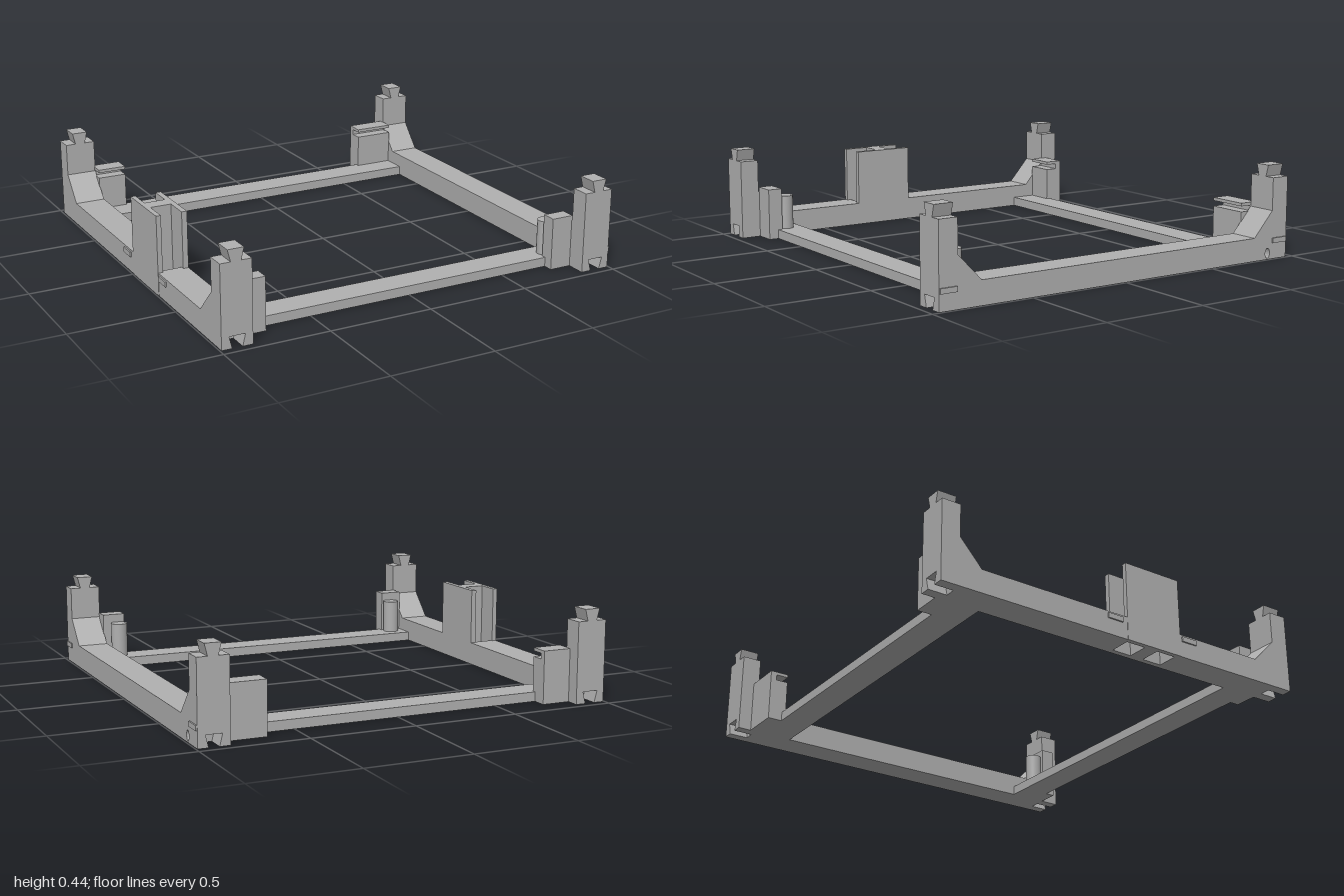
import * as THREE from 'three';

export function createModel() {
  const model = new THREE.Group();
  const grey = new THREE.MeshStandardMaterial({ color: 0xb0b0b0 });
  grey.name = 'grey';

  const RAIL_X = 0.92, HALF = 0.073, RAIL_H = 0.11, POST_Z = 0.872, END_Z = 0.964;

  const add = (name, geometry) => {
    const mesh = new THREE.Mesh(geometry, grey);
    mesh.name = name;
    model.add(mesh);
    return mesh;
  };

  // box from its lower and upper limits
  const box = (name, x0, x1, y0, y1, z0, z1) =>
    add(name, new THREE.BoxGeometry(x1 - x0, y1 - y0, z1 - z0))
      .position.set((x0 + x1) / 2, (y0 + y1) / 2, (z0 + z1) / 2);

  const polygon = (pts) => new THREE.Shape(pts.map(([a, b]) => new THREE.Vector2(a, b)));
  const rect = (Type, a0, a1, b0, b1) =>
    new Type([[a0, b0], [a1, b0], [a1, b1], [a0, b1]].map(([a, b]) => new THREE.Vector2(a, b)));
  const extrude = (shape, depth) =>
    new THREE.ExtrudeGeometry(shape, { depth, bevelEnabled: false, curveSegments: 8 });

  // side profile in (-z, y), extruded across the rail's width
  const rail = (name, x, shape) => {
    const geometry = extrude(shape, HALF * 2);
    geometry.rotateY(Math.PI / 2);
    add(name, geometry).position.x = x - HALF;
  };

  // half profiles with the sloped foot of each post
  const frontEnd = [[-POST_Z, 0.23], [-POST_Z, 0]];
  const backEnd = [[POST_Z, 0], [POST_Z, 0.23]];

  // left rail with a small oval hole near the back
  const full = polygon([...frontEnd, ...backEnd, [0.764, RAIL_H], [-0.755, RAIL_H]]);
  const oval = new THREE.Path();
  oval.absellipse(0.848, 0.03, 0.014, 0.024, 0, Math.PI * 2);
  full.holes.push(oval);
  rail('leftRail', RAIL_X, full);

  // right rail in two pieces, with a pierced section between them
  rail('rightRailFront', -RAIL_X, polygon([...frontEnd, [-0.3, 0], [-0.3, RAIL_H], [-0.755, RAIL_H]]));
  rail('rightRailBack', -RAIL_X, polygon([[0, 0], ...backEnd, [0.764, RAIL_H], [0, RAIL_H]]));
  const pierced = rect(THREE.Shape, -RAIL_X - HALF, -RAIL_X + HALF, -0.3, 0);
  for (const z of [0.01, 0.18])
    pierced.holes.push(rect(THREE.Path, -0.972, -0.873, -z - 0.1, -z));
  add('piercedRailSection', extrude(pierced, RAIL_H).rotateX(-Math.PI / 2));

  // H-shaped bracket above the pierced section
  box('bracketOuterPlate', -0.995, -0.972, 0, 0.38, 0, 0.3);
  box('bracketInnerPlate', -0.873, -0.847, RAIL_H, 0.38, 0, 0.3);
  box('bracketWeb', -0.972, -0.873, RAIL_H, 0.38, 0.11, 0.18);

  // corner posts with a dovetail on top and a matching socket below
  const postShape = polygon([
    [-HALF, 0], [-0.024, 0], [-0.038, 0.056], [0.038, 0.056], [0.024, 0], [HALF, 0],
    [HALF, 0.385], [0.024, 0.385], [0.038, 0.44], [-0.038, 0.44], [-0.024, 0.385], [-HALF, 0.385],
  ]);
  for (const sx of [-1, 1]) {
    for (const z of [POST_Z, -END_Z])
      add('cornerPost', extrude(postShape, END_Z - POST_Z)).position.set(sx * RAIL_X, 0, z);
  }

  // small catches on the outer faces
  for (const z of [0.876, -0.96]) box('leftCatch', 0.99, 1, 0.076, 0.1, z, z + 0.084);
  for (const z of [-0.107, 0.31]) box('rightCatch', -1, -0.99, 0.076, 0.1, z, z + 0.08);

  // low cross bars
  box('frontBar', -0.847, 0.847, 0, 0.045, 0.68, 0.82);
  box('backBar', -0.847, 0.847, 0, 0.045, -0.83, -0.685);

  // front blocks, each with a round pin behind it
  for (const sx of [-1, 1]) {
    const [a, b] = sx < 0 ? [-0.85, -0.74] : [0.74, 0.85];
    box('frontBlock', a, b, 0, 0.25, 0.797, 0.868);
    box('pinWeb', sx * 0.78 - 0.022, sx * 0.78 + 0.022, 0.045, 0.21, 0.76, 0.8);
    add('pin', new THREE.CylinderGeometry(0.04, 0.04, 0.21, 32)).position.set(sx * 0.778, 0.105, 0.762);
  }

  // back blocks with a slot open to the front
  const slotted = polygon([
    [0.81, 0], [0.9, 0], [0.9, 0.25], [0.81, 0.25], [0.81, 0.235],
    [0.87, 0.235], [0.87, 0.208], [0.81, 0.208],
  ]);
  for (const [x0, x1] of [[-0.85, -0.71], [0.655, 0.85]]) {
    const geometry = extrude(slotted, x1 - x0).rotateY(Math.PI / 2);
    add('backBlock', geometry).position.x = x0;
  }

  return model;
}
